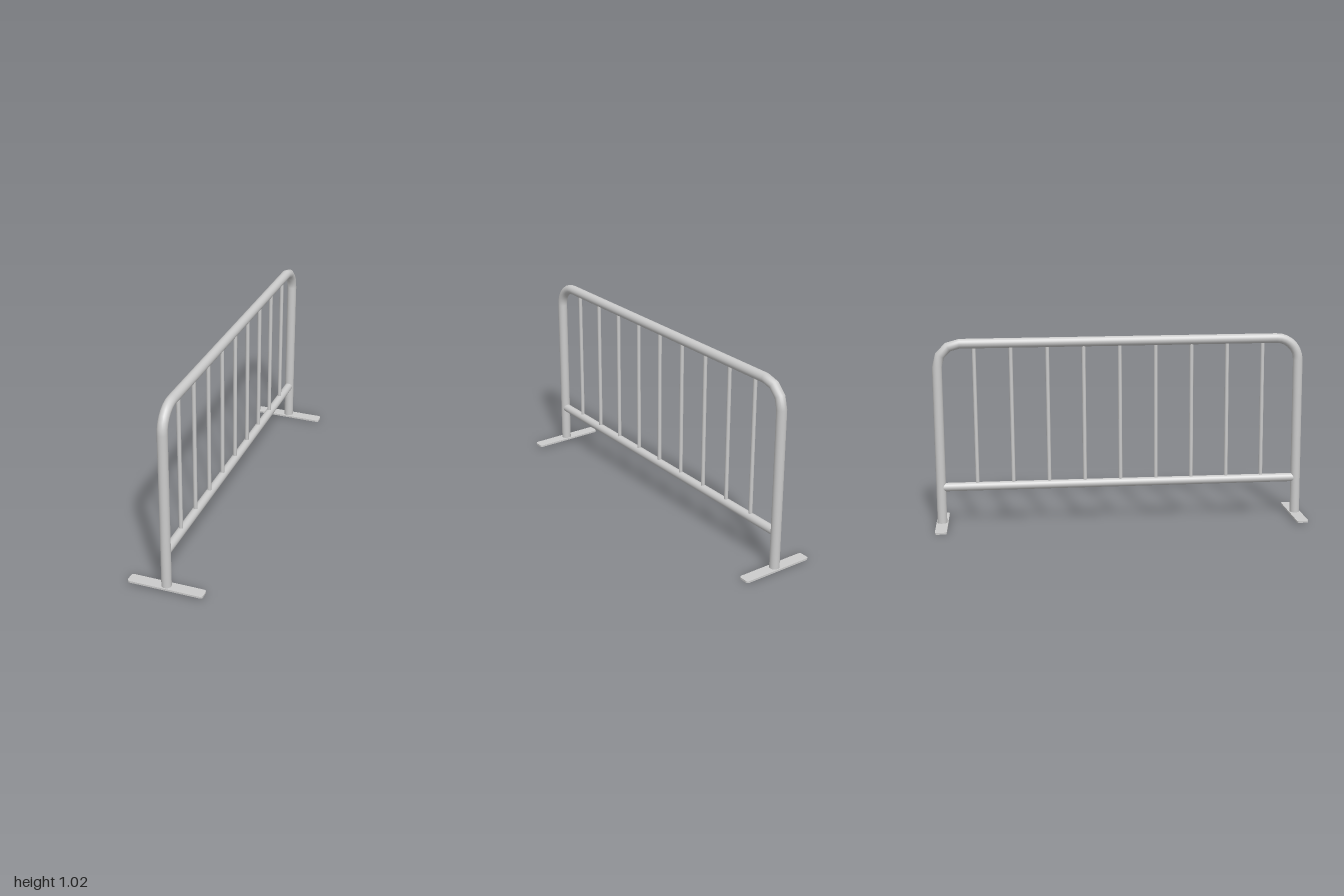
import * as THREE from 'three';

const material = new THREE.MeshStandardMaterial({ color: 0xcccccc });

const LEG_Z = 0.967;     // leg centre line
const TOP_Y = 0.978;     // top rail centre line
const LOW_Y = 0.206;     // lower rail centre line
const BEND = 0.12;       // corner bend radius
const TUBE = 0.026;      // frame tube radius
const FOOT_H = 0.01;

export function createModel() {
  const barrier = new THREE.Group();
  barrier.name = 'barrier';

  const add = (name, geometry, x = 0, y = 0, z = 0) => {
    const mesh = new THREE.Mesh(geometry, material);
    mesh.name = name;
    mesh.position.set(x, y, z);
    barrier.add(mesh);
    return mesh;
  };
  const upright = (name, r, y0, y1, z, sides) =>
    add(name, new THREE.CylinderGeometry(r, r, y1 - y0, sides), 0, (y0 + y1) / 2, z);
  const rail = (name, r, y, halfLength) => {
    const g = new THREE.CylinderGeometry(r, r, halfLength * 2, 20).rotateX(Math.PI / 2);
    return add(name, g, 0, y, 0);
  };

  // Flat foot plate with rounded corners
  const w = 0.2, d = 0.0315, c = 0.015;
  const plate = new THREE.Shape();
  plate.moveTo(-w + c, -d);
  plate.lineTo(w - c, -d);
  plate.quadraticCurveTo(w, -d, w, -d + c);
  plate.lineTo(w, d - c);
  plate.quadraticCurveTo(w, d, w - c, d);
  plate.lineTo(-w + c, d);
  plate.quadraticCurveTo(-w, d, -w, d - c);
  plate.lineTo(-w, -d + c);
  plate.quadraticCurveTo(-w, -d, -w + c, -d);
  const footGeometry = new THREE.ExtrudeGeometry(plate, { depth: FOOT_H, bevelEnabled: false, curveSegments: 3 });
  footGeometry.rotateX(-Math.PI / 2);

  // Legs, bent corners and feet at both ends; the rear bend is coarser
  for (const [end, side, steps] of [['front', 1, 7], ['rear', -1, 3]]) {
    upright(end + 'Leg', TUBE, FOOT_H * 0.5, TOP_Y - BEND, side * LEG_Z, 20);
    const bend = new THREE.TorusGeometry(BEND, TUBE, 20, steps, Math.PI / 2);
    bend.rotateY(-side * Math.PI / 2);
    add(end + 'Corner', bend, 0, TOP_Y - BEND, side * (LEG_Z - BEND));
    add(end + 'Foot', footGeometry, 0, 0, side * LEG_Z);
  }

  // Horizontal rails
  rail('topRail', TUBE, TOP_Y, LEG_Z - BEND);
  rail('lowerRail', 0.023, LOW_Y, 0.953);

  // Nine thin vertical bars
  for (let i = -4; i <= 4; i++) upright('bar' + (i + 5), 0.0105, LOW_Y, TOP_Y, i * 0.193, 10);

  // The whole barrier leans very slightly towards the rear
  barrier.rotation.x = -0.006;
  barrier.position.y = 0.006;

  const model = new THREE.Group();
  model.name = 'crowdBarrier';
  model.add(barrier);
  return model;
}
